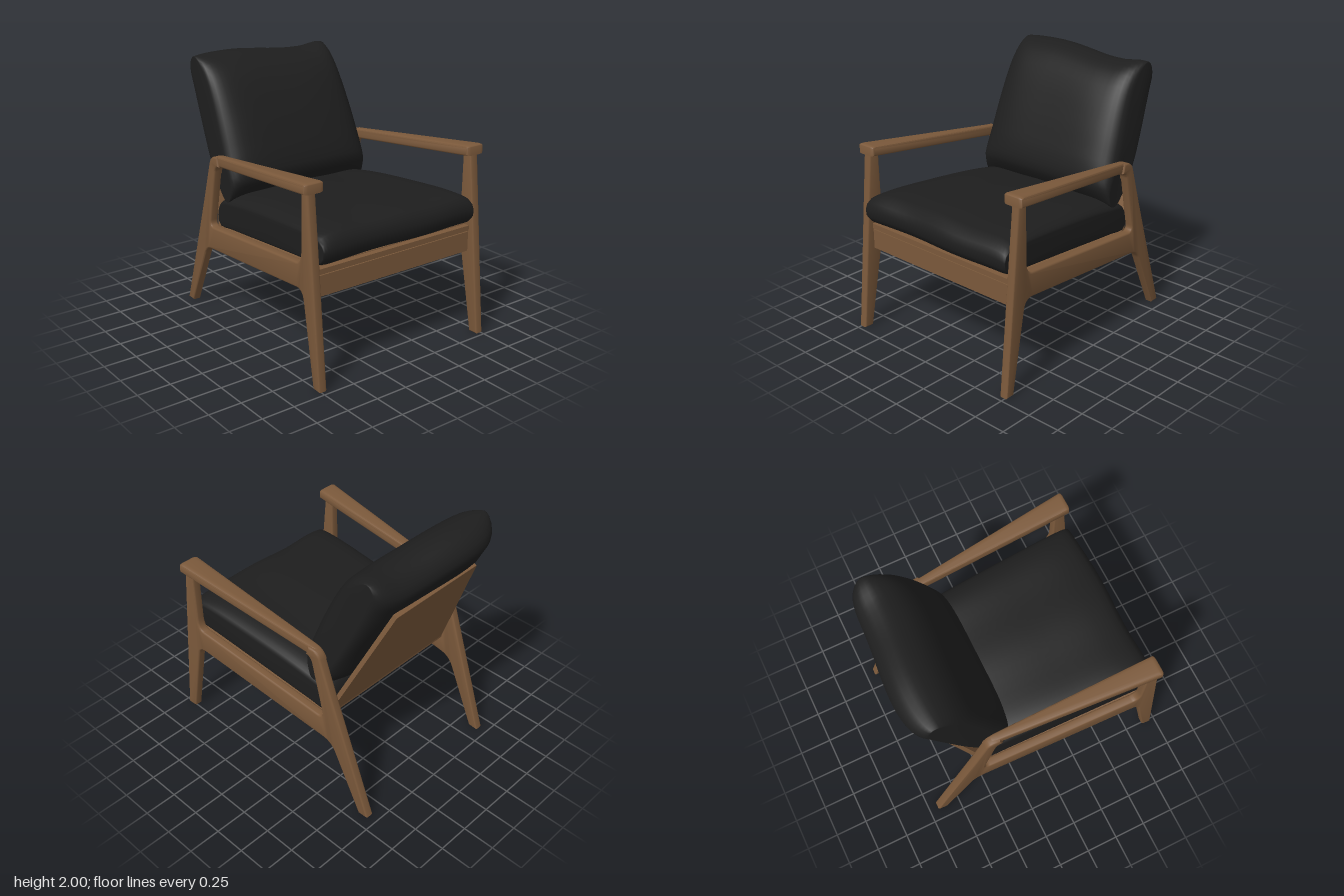
import * as THREE from 'three';
import { toCreasedNormals } from 'three/addons/utils/BufferGeometryUtils.js';

const wood = new THREE.MeshStandardMaterial({ color: 0x7b593b });
wood.name = 'walnut wood';
const fabric = new THREE.MeshStandardMaterial({ color: 0x1e1e1e });
fabric.name = 'black fabric';

const { lerp, smoothstep } = THREE.MathUtils;

function addMesh(parent, name, geometry, material) {
  const mesh = new THREE.Mesh(geometry, material);
  mesh.name = name;
  parent.add(mesh);
  return mesh;
}

// Extrudes a (z, y) side profile and spreads it between inner(z) and outer(z).
// side -1 is the model's right, +1 its mirrored left.
function sidePart(shape, inner, outer, side) {
  const depth = 0.066, b = 0.014;
  const geo = new THREE.ExtrudeGeometry(shape, {
    depth: depth - 2 * b, bevelThickness: b, bevelSize: b, bevelOffset: -b, bevelSegments: 3, curveSegments: 8,
  });
  const p = geo.attributes.position;
  for (let i = 0; i < p.count; i++) {
    const z = p.getX(i), t = (p.getZ(i) + b) / depth;
    p.setXYZ(i, side * lerp(inner(z), outer(z), t), p.getY(i), z);
  }
  if (side > 0) { // restore the corner order after mirroring
    for (let i = 0; i < p.count; i += 3) {
      const a = new THREE.Vector3().fromBufferAttribute(p, i + 1);
      p.setXYZ(i + 1, p.getX(i + 2), p.getY(i + 2), p.getZ(i + 2));
      p.setXYZ(i + 2, a.x, a.y, a.z);
    }
  }
  geo.deleteAttribute('uv');
  return toCreasedNormals(geo, 0.6);
}

// Front leg, side rail and raked back leg in one piece
function frameShape() {
  const s = new THREE.Shape();
  s.moveTo(0.965, 0);
  s.lineTo(0.83, 1.41);
  s.lineTo(0.755, 1.4);
  s.lineTo(0.75, 0.97);
  s.quadraticCurveTo(0.75, 0.865, 0.69, 0.86);
  s.lineTo(-0.46, 0.74);
  s.quadraticCurveTo(-0.515, 0.735, -0.505, 0.79);
  s.lineTo(-0.415, 1.19);
  s.quadraticCurveTo(-0.405, 1.235, -0.36, 1.24);
  s.lineTo(-0.38, 1.312);
  s.quadraticCurveTo(-0.47, 1.315, -0.492, 1.25);
  s.lineTo(-0.59, 0.96);
  s.lineTo(-0.93, 0);
  s.lineTo(-0.85, 0);
  s.lineTo(-0.62, 0.475);
  s.quadraticCurveTo(-0.585, 0.545, -0.51, 0.554);
  s.lineTo(0.69, 0.676);
  s.quadraticCurveTo(0.76, 0.681, 0.775, 0.61);
  s.lineTo(0.89, 0);
  s.closePath();
  return s;
}

function armShape() {
  const s = new THREE.Shape();
  s.moveTo(0.852, 1.372);
  s.lineTo(0.85, 1.435);
  s.quadraticCurveTo(0.845, 1.449, 0.81, 1.446);
  s.lineTo(-0.39, 1.316);
  s.quadraticCurveTo(-0.47, 1.31, -0.495, 1.24);
  s.lineTo(-0.422, 1.17);
  s.quadraticCurveTo(-0.41, 1.235, -0.36, 1.24);
  s.lineTo(0.75, 1.36);
  s.closePath();
  return s;
}

// Flat tapered board between a lower and an upper (z, y) edge
function board(z0, y0, half0, z1, y1, half1, thickness) {
  const length = Math.hypot(z1 - z0, y1 - y0);
  const s = new THREE.Shape([
    new THREE.Vector2(-half0, 0), new THREE.Vector2(half0, 0),
    new THREE.Vector2(half1, length), new THREE.Vector2(-half1, length),
  ]);
  const geo = new THREE.ExtrudeGeometry(s, { depth: thickness, bevelEnabled: false });
  geo.translate(0, 0, -thickness / 2);
  geo.rotateX(Math.atan2(z1 - z0, y1 - y0));
  geo.translate(0, y0, z0);
  return geo;
}

// Stuffed cushion: a (z, y) profile swept across x, thinner towards both ends
function cushion(profile, center, axis, endThickness, place) {
  const curve = new THREE.CatmullRomCurve3(profile.map(([z, y]) => new THREE.Vector3(0, y, z)), true);
  const ring = curve.getSpacedPoints(56).slice(0, 56);
  const n = ring.length, rows = 28, pos = [], index = [];
  const [az, ay] = axis;
  const put = (t, z, y) => pos.push(...place(t, y, z));
  for (let i = 0; i <= rows; i++) {
    const t = Math.sin((i / rows - 0.5) * Math.PI);
    const thick = endThickness + (1 - endThickness) * Math.sqrt(Math.max(0, 1 - Math.abs(t) ** 5));
    const long = 1 - 0.03 * (1 - thick);
    for (const q of ring) {
      const dz = q.z - center[0], dy = q.y - center[1];
      const along = (dz * az + dy * ay) * long, across = (dy * az - dz * ay) * thick;
      put(t, center[0] + along * az - across * ay, center[1] + along * ay + across * az);
    }
  }
  for (let i = 0; i < rows; i++) {
    for (let j = 0; j < n; j++) {
      const k = (j + 1) % n, a = i * n, b = a + n;
      index.push(a + j, b + j, a + k, b + j, b + k, a + k);
    }
  }
  // End caps
  const c = pos.length / 3, last = rows * n;
  put(-1.005, ...center);
  put(1.005, ...center);
  for (let j = 0; j < n; j++) {
    const k = (j + 1) % n;
    index.push(c, j, k, c + 1, last + k, last + j);
  }
  const geo = new THREE.BufferGeometry();
  geo.setAttribute('position', new THREE.Float32BufferAttribute(pos, 3));
  geo.setIndex(index);
  geo.computeVertexNormals();
  return geo;
}

export function createModel() {
  const chair = new THREE.Group();
  chair.name = 'loungeChair';

  // Side frames and armrests, splayed towards the front
  const mid = (z) => 0.686 + 0.052 * z;
  for (const [side, label] of [[-1, 'right'], [1, 'left']]) {
    addMesh(chair, label + 'SideFrame',
      sidePart(frameShape(), (z) => mid(z) - 0.034, (z) => mid(z) + 0.034, side), wood);
    addMesh(chair, label + 'Armrest',
      sidePart(armShape(), (z) => 0.629 + 0.014 * z, (z) => 0.721 + 0.094 * z, side), wood);
  }

  // Front rail with its upper lip
  const rail = addMesh(chair, 'frontRail', new THREE.BoxGeometry(1.41, 0.152, 0.06), wood);
  rail.position.set(0, 0.711, 0.81);
  const lip = addMesh(chair, 'frontRailLip', new THREE.BoxGeometry(1.41, 0.04, 0.07), wood);
  lip.position.set(0, 0.815, 0.81);

  // Seat board and reclined back panel
  addMesh(chair, 'seatBoard', board(-0.5, 0.71, 0.645, 0.8, 0.825, 0.71, 0.03), wood);
  addMesh(chair, 'backPanel', board(-0.485, 0.72, 0.625, -0.9, 1.695, 0.41, 0.034), wood);

  // Seat cushion: wider at the front, its underside kept flat on the board up to the ends
  const seat = [
    [0.91, 0.99], [0.87, 1.07], [0.72, 1.102], [0.25, 1.088], [-0.08, 1.06], [-0.3, 1.025], [-0.46, 0.98],
    [-0.51, 0.87], [-0.48, 0.745], [-0.3, 0.757], [0.2, 0.808], [0.7, 0.856], [0.85, 0.865], [0.9, 0.91],
  ];
  addMesh(chair, 'seatCushion', cushion(seat, [0.2, 0.92], [0.995, 0.1], 0.48, (t, y, z) => {
    const top = smoothstep(y - 0.1 * z, 0.82, 0.98);
    return [
      t * (0.652 + 0.043 * z),
      y + 0.005 * Math.cos(t * 7) * top - 0.045 * (1 - top) * Math.abs(t) ** 6,
      z + 0.008 * Math.sin(t * 5),
    ];
  }), fabric);

  // Back cushion, slumping a little towards the left, its upper corners pulled forward
  const back = [
    [-0.23, 1.14], [-0.25, 1.26], [-0.3, 1.4], [-0.375, 1.58], [-0.47, 1.77], [-0.55, 1.885], [-0.655, 1.97],
    [-0.8, 2.0], [-0.9, 1.955], [-0.955, 1.86], [-0.9, 1.72], [-0.7, 1.31], [-0.58, 1.03], [-0.45, 0.935],
    [-0.34, 0.97], [-0.27, 1.06],
  ];
  addMesh(chair, 'backCushion', cushion(back, [-0.6, 1.47], [-0.41, 0.912], 0.42, (t, y, z) => {
    const up = smoothstep(y, 1.2, 2), end = Math.abs(t) ** 6;
    const x = t > 0 ? t * (0.625 - 0.055 * up) : t * (0.628 - 0.015 * up);
    const slump = 0.04 * smoothstep(t, -0.5, 0.5) - 0.025 * smoothstep(t, 0.6, 0.95);
    const corner = 0.03 * end * up + 0.03 * end * (1 - smoothstep(y, 1, 1.35));
    return [x, y - slump * up, z + 0.02 * up * Math.sin(t * 3) + corner];
  }), fabric);

  return chair;
}
